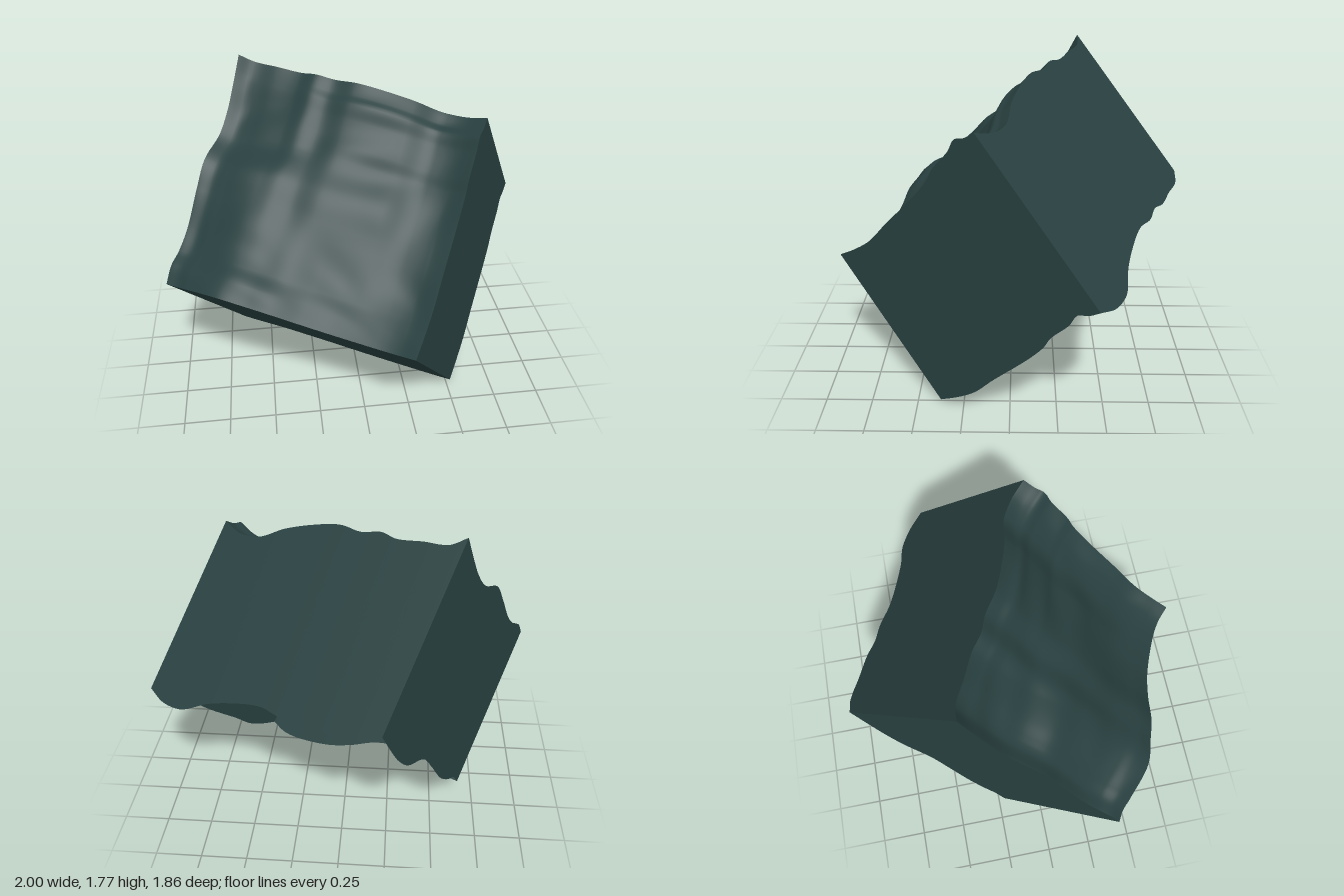
import * as THREE from 'three';
import { ParametricGeometry } from 'three/addons/geometries/ParametricGeometry.js';

// Tilted block frame: one corner, two ground directions, the up normal and the skirt depth
const ORIGIN = new THREE.Vector3(-1, 0.85, 0.34);
const U = new THREE.Vector3(1.116, 0.004, 0.686);
const V = new THREE.Vector3(0.478, 0.853, -0.775);
const N = new THREE.Vector3().crossVectors(U, V).normalize();
const SKIRT = new THREE.Vector3(0.345, -0.7, -0.557);

// Height profiles of the four edges, as [position, height]
const nearEdge = [[0, 0], [0.05, 0], [0.1, 0.022], [0.25, 0.07], [0.37, 0.028], [0.45, -0.007],
  [0.556, -0.084], [0.67, -0.145], [0.835, -0.19], [0.925, -0.192], [1, -0.164]];
const farEdge = [[0, 0.112], [0.054, 0.057], [0.154, 0.036], [0.252, 0.012], [0.323, 0.022], [0.398, -0.006],
  [0.493, -0.003], [0.596, -0.04], [0.718, -0.107], [0.794, -0.174], [0.84, -0.197], [0.92, -0.2], [1, -0.165]];
const rightEdge = [[0, 0], [0.077, 0.018], [0.144, -0.002], [0.248, -0.002], [0.408, 0.044], [0.532, 0.07],
  [0.66, 0.021], [0.77, 0.029], [0.88, 0.065], [1, 0.112]];
const leftEdge = [[0, -0.164], [0.1, -0.195], [0.21, -0.214], [0.345, -0.204], [0.56, -0.195], [0.676, -0.18],
  [0.736, -0.157], [0.847, -0.146], [0.907, -0.125], [0.946, -0.15], [1, -0.165]];

// Smooth curve through a profile
function profile(points, t) {
  let i = 0;
  while (i < points.length - 2 && t > points[i + 1][0]) i++;
  const slope = (k) => {
    const a = points[Math.max(k - 1, 0)], b = points[Math.min(k + 1, points.length - 1)];
    return (b[1] - a[1]) / (b[0] - a[0]);
  };
  const [x0, y0] = points[i], [x1, y1] = points[i + 1];
  const w = x1 - x0, s = (t - x0) / w, s2 = s * s, s3 = s2 * s;
  return (2 * s3 - 3 * s2 + 1) * y0 + (s3 - 2 * s2 + s) * w * slope(i)
    + (3 * s2 - 2 * s3) * y1 + (s3 - s2) * w * slope(i + 1);
}

// Blend the edges across the ground and add low mounds and ripples inside
function height(u, v) {
  const near = profile(nearEdge, u), far = profile(farEdge, u);
  const right = profile(rightEdge, v), left = profile(leftEdge, v);
  const corners = (1 - v) * (u * -0.164) + v * ((1 - u) * 0.112 + u * -0.165);
  const blend = (1 - v) * near + v * far + (1 - u) * right + u * left - corners;
  const mound = (cu, cv, r, h) => h * Math.exp(-((u - cu) ** 2 + (v - cv) ** 2) / (r * r));
  const inside = Math.min(1, 14 * u * (1 - u)) * Math.min(1, 14 * v * (1 - v));
  const ripple = 0.006 * Math.sin(17 * u + 5 * Math.sin(4 * v)) * Math.sin(13 * v + 3 * u);
  return blend + inside * (ripple + mound(0.22, 0.3, 0.09, 0.018) + mound(0.72, 0.5, 0.1, 0.015)
    + mound(0.4, 0.4, 0.12, -0.012));
}

const ground = (u, v, target) => target.copy(ORIGIN)
  .addScaledVector(U, u).addScaledVector(V, v).addScaledVector(N, height(u, v));

export function createModel() {
  const model = new THREE.Group();
  model.name = 'terrainBlock';
  const stone = new THREE.MeshStandardMaterial({ color: 0x294040, side: THREE.DoubleSide });
  stone.name = 'dark slate';

  const add = (name, surface, columns, rows) => {
    const mesh = new THREE.Mesh(new ParametricGeometry(surface, columns, rows), stone);
    mesh.name = name;
    model.add(mesh);
  };

  // Rolling ground surface
  add('terrain', ground, 96, 96);

  // Four skirt walls, following the ground edges; the underside stays open
  const walls = {
    nearWall: (t) => [t, 0],
    leftWall: (t) => [1, t],
    farWall: (t) => [1 - t, 1],
    rightWall: (t) => [0, 1 - t],
  };
  for (const [name, edge] of Object.entries(walls)) {
    add(name, (t, k, target) => {
      const [u, v] = edge(t);
      ground(u, v, target).addScaledVector(SKIRT, 1 - k);
    }, 96, 1);
  }
  // Walls are flat sheets, so each takes a single facing
  for (const wall of model.children.slice(1)) {
    const facing = { nearWall: V.clone().negate(), leftWall: U, farWall: V, rightWall: U.clone().negate() }[wall.name];
    const n = facing.clone().normalize(), normals = wall.geometry.attributes.normal;
    for (let i = 0; i < normals.count; i++) normals.setXYZ(i, n.x, n.y, n.z);
  }
  return model;
}
